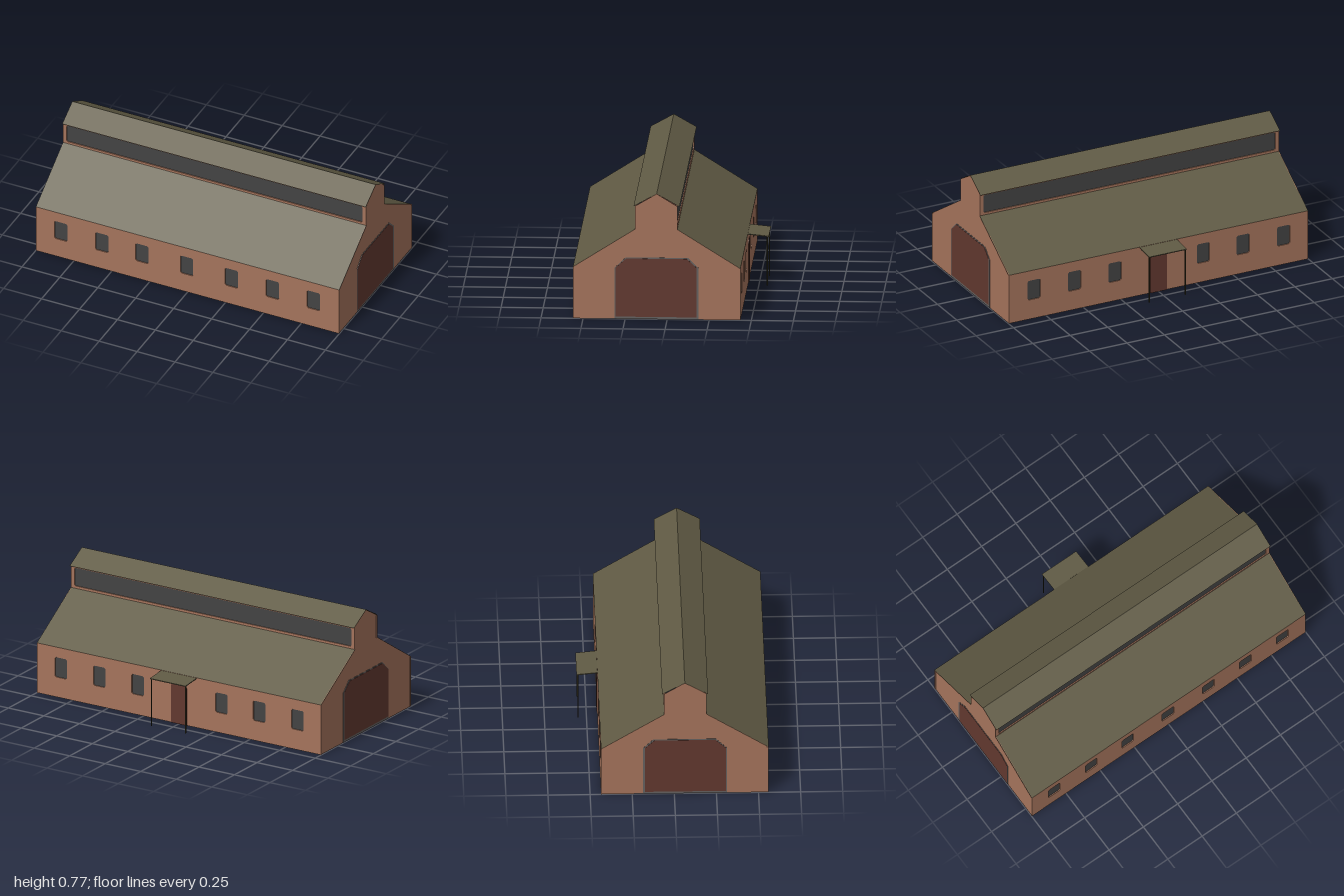
import * as THREE from 'three';

const mat = (name, color, side = THREE.FrontSide) => {
  const m = new THREE.MeshStandardMaterial({ color, side });
  m.name = name;
  return m;
};

export function createModel() {
  const group = new THREE.Group();
  const brick = mat('brick', 0xa5745c, THREE.DoubleSide);
  const roof = mat('olive roof', 0x605a44, THREE.DoubleSide);
  const glass = mat('dark glass', 0x434343);
  const doorRed = mat('dark red door', 0x62382f);
  const frameGrey = mat('grey frame', 0x65615f);
  const postDark = mat('dark post', 0x35321f);

  const add = (name, geo, material, x = 0, y = 0, z = 0) => {
    const mesh = new THREE.Mesh(geo, material);
    mesh.name = name;
    mesh.position.set(x, y, z);
    group.add(mesh);
    return mesh;
  };
  const box = (name, material, w, h, d, x, y, z) =>
    add(name, new THREE.BoxGeometry(w, h, d), material, x, y, z);
  const poly = (pts) => new THREE.Shape(pts.map(([a, b]) => new THREE.Vector2(a, b)));

  // Rectangle with small cut corners
  const opening = (x, y, w, h, c = 0.008) => {
    const l = x - w / 2, r = x + w / 2, b = y - h / 2, t = y + h / 2;
    return [[l + c, b], [r - c, b], [r, b + c], [r, t - c], [r - c, t], [l + c, t], [l, t - c], [l, b + c]];
  };

  const FRONT = 0.56, BACK = -0.435, MID = 0.0625;
  const EAVE = 0.315, STEP = 0.55, TOP = 0.69, RIDGE = 0.765;
  const CF = 0.19, CB = -0.06, T = 0.012;

  // Long wall with glazed openings; dir is the outward z direction
  const longWall = (name, z, dir, y0, y1, holes) => {
    const shape = poly([[-0.998, y0], [0.998, y0], [0.998, y1], [-0.998, y1]]);
    for (const [x, y, w, h] of holes) {
      shape.holes.push(poly(opening(x, y, w, h)));
      box(name + 'Glass', glass, w, h, 0.004, x, y, z - dir * 0.008);
    }
    const geo = new THREE.ExtrudeGeometry(shape, { depth: T, bevelEnabled: false });
    add(name, geo, brick, 0, 0, dir > 0 ? z - T : z);
  };

  const windowXs = [-0.835, -0.565, -0.3, -0.005, 0.29, 0.56, 0.83];
  const windows = windowXs.map((x) => [x, 0.188, 0.085, 0.125]);
  longWall('frontWall', FRONT, 1, 0, EAVE, windows);
  longWall('backWall', BACK, -1, 0, EAVE, windows.filter((w) => Math.abs(w[0]) > 0.1));

  // Raised ridge walls with long glazing strips
  const strip = [[0, 0.622, 1.95, 0.115]];
  longWall('upperFrontWall', CF, 1, STEP, TOP, strip);
  longWall('upperBackWall', CB, -1, STEP, TOP, strip);

  // Gable ends and their big doors, drawn in (z, y)
  const plate = (name, pts, depth, material, x) => {
    const geo = new THREE.ExtrudeGeometry(poly(pts), { depth, bevelEnabled: false });
    geo.translate(0, 0, -depth / 2);
    geo.rotateY(-Math.PI / 2);
    add(name, geo, material, x);
  };
  const gable = [[FRONT, 0], [FRONT, EAVE], [CF, STEP], [CF, TOP], [MID, RIDGE],
    [CB, TOP], [CB, STEP], [BACK, EAVE], [BACK, 0]].reverse();
  const frame = [[-0.187, 0], [0.312, 0], [0.312, 0.312], [0.246, 0.376], [-0.125, 0.376], [-0.187, 0.315]];
  const leaf = [[-0.175, 0.014], [0.308, 0.014], [0.308, 0.312], [0.244, 0.369], [-0.118, 0.369], [-0.175, 0.316]];
  for (const side of [-1, 1]) {
    const x = side * 0.996;
    plate('gableWall', gable, 0.002, brick, x);
    plate('gateFrame', frame, 0.005, frameGrey, x);
    plate('gate', leaf, 0.008, doorRed, x);
  }

  // Roof sheets running the full length between two (z, y) points
  const sheet = (name, [z0, y0], [z1, y1], half = 1) => {
    const geo = new THREE.PlaneGeometry(2 * half, Math.hypot(z1 - z0, y1 - y0));
    geo.rotateX(Math.atan2(z1 - z0, y1 - y0));
    add(name, geo, roof, 0, (y0 + y1) / 2, (z0 + z1) / 2);
  };
  sheet('frontRoof', [FRONT, EAVE], [CF, STEP]);
  sheet('backRoof', [CB, STEP], [BACK, EAVE]);
  sheet('upperFrontRoof', [0.2, 0.689], [MID, RIDGE + 0.001]);
  sheet('upperBackRoof', [MID, RIDGE + 0.001], [-0.073, 0.689]);

  // Back door with an arched top, and the brick lobby behind it
  const door = poly([[-0.055, 0], [0.055, 0], [0.055, 0.235], [0.038, 0.258], [-0.038, 0.258], [-0.055, 0.235]]);
  const doorGeo = new THREE.ExtrudeGeometry(door, { depth: 0.008, bevelEnabled: false });
  add('backDoor', doorGeo, doorRed, 0, 0, BACK - 0.004);
  for (const s of [-1, 1]) box('lobbySide', brick, 0.004, 0.26, 0.12, s * 0.055, 0.13, BACK + 0.062);
  box('lobbyBack', brick, 0.114, 0.26, 0.004, 0, 0.13, BACK + 0.122);
  box('lobbyTop', brick, 0.114, 0.004, 0.12, 0, 0.26, BACK + 0.062);

  // Porch canopy on two thin posts
  const canopy = box('porchRoof', roof, 0.25, 0.005, 0.125, 0, 0.305, -0.4975);
  canopy.rotation.x = -0.1;
  for (const s of [-1, 1]) box('porchPost', postDark, 0.006, 0.298, 0.006, s * 0.12, 0.149, -0.55);

  return group;
}
